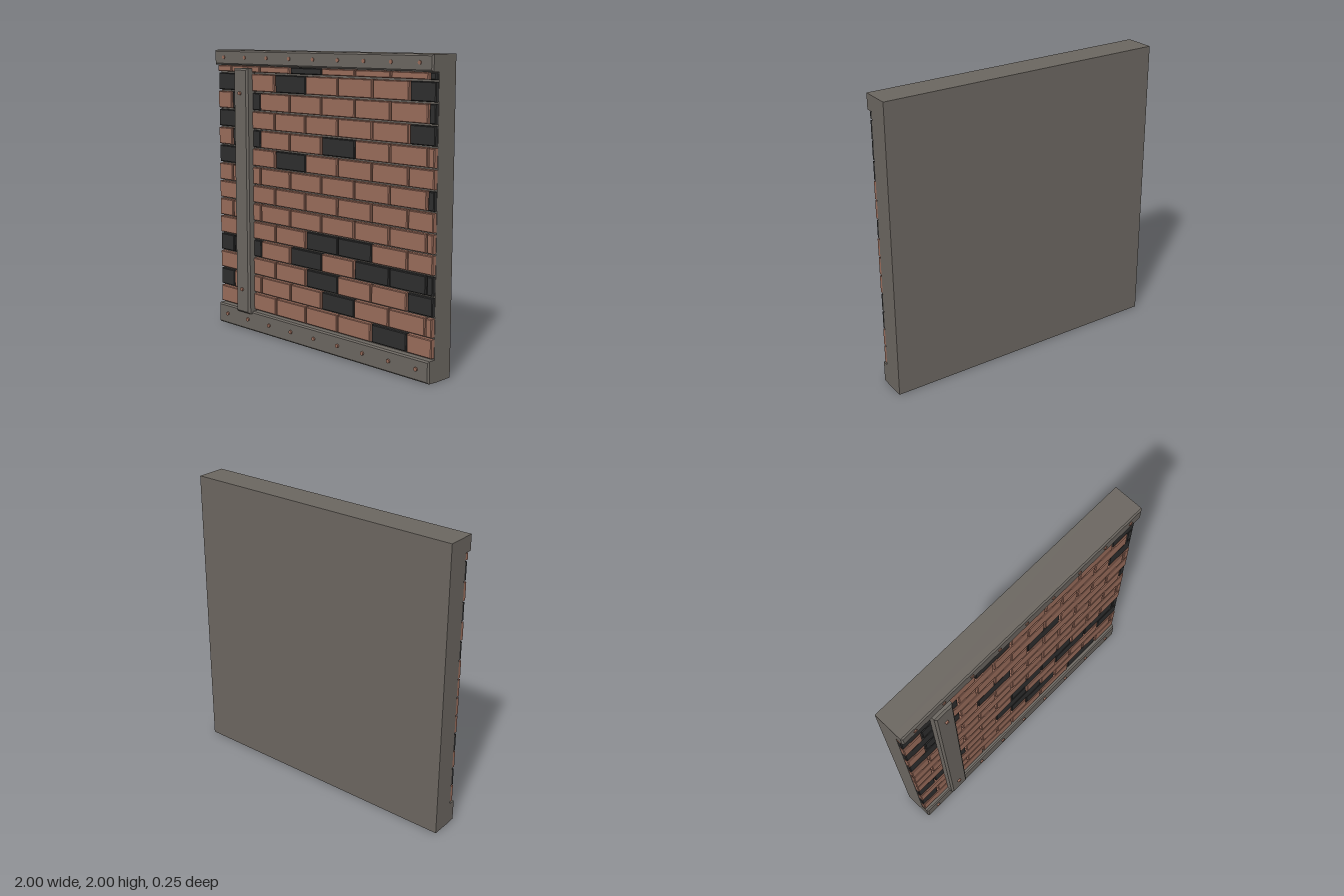
import * as THREE from 'three';

const mat = (name, color) => {
  const m = new THREE.MeshStandardMaterial({ color });
  m.name = name;
  return m;
};

// Plate with chamfered edges, spanning the given x, y and z ranges
function plate(x0, x1, y0, y1, z0, z1, b) {
  const s = new THREE.Shape();
  s.moveTo(x0 + b, y0 + b);
  s.lineTo(x1 - b, y0 + b);
  s.lineTo(x1 - b, y1 - b);
  s.lineTo(x0 + b, y1 - b);
  s.closePath();
  const g = new THREE.ExtrudeGeometry(s, {
    depth: z1 - z0 - 2 * b, bevelEnabled: true, bevelSize: b, bevelThickness: b, bevelSegments: 1,
  });
  return g.translate(0, 0, z0 + b);
}

export function createModel() {
  const group = new THREE.Group();
  group.name = 'brickWallPanel';
  const metal = mat('warmGrey', 0x6a655f);
  const red = mat('brickRed', 0x986b5a);
  const dark = mat('charcoal', 0x2d2d2d);

  const add = (parent, name, geo, material) => {
    const m = new THREE.Mesh(geo, material);
    m.name = name;
    parent.add(m);
    return m;
  };

  // Backing slab, which also shows as mortar
  add(group, 'backing', new THREE.BoxGeometry(2, 2, 0.155).translate(0, 1, -0.0475), metal);

  // Running-bond bricks; dark brick columns are listed per course, bottom to top
  const darkColumns = [
    [5], [0, 4], [3, 6], [0, 1, 3, 5, 6, 7], [3, 4], [], [],
    [7], [0, 2], [1, 4], [0, 6], [1, 7], [0, 2, 6], [3, 7],
  ];
  const bricks = new THREE.Group();
  bricks.name = 'bricks';
  group.add(bricks);
  darkColumns.forEach((columns, row) => {
    const odd = row % 2;
    const y0 = 0.16 + row * 0.13;
    const y1 = Math.min(y0 + 0.118, 1.892);
    for (let i = 0; i < 7 + odd; i++) {
      const start = -1 - odd * 0.15 + i * 0.3;
      const x0 = Math.max(start + 0.003, -0.998);
      const x1 = Math.min(start + 0.293, 0.998);
      const isDark = columns.includes(i);
      add(bricks, isDark ? 'darkBrick' : 'redBrick',
        plate(x0, x1, y0, y1, 0.01, isDark ? 0.057 : 0.062, 0.005), isDark ? dark : red);
    }
  });

  // Metal rails and the upright strap
  add(group, 'bottomRail', plate(-1, 1, 0.003, 0.147, 0, 0.084, 0.01), metal);
  add(group, 'topRail', plate(-1, 1, 1.897, 2, 0, 0.09, 0.01), metal);
  add(group, 'strap', plate(-0.772, -0.628, 0.13, 1.877, 0.03, 0.113, 0.013), metal);

  // Rivets
  const rivets = new THREE.Group();
  rivets.name = 'rivets';
  group.add(rivets);
  const rivet = (x, y, front) => {
    const geo = new THREE.CylinderGeometry(0.013, 0.013, 0.03, 12).rotateX(Math.PI / 2);
    add(rivets, 'rivet', geo, red).position.set(x, y, front - 0.015);
  };
  for (let i = 0; i < 9; i++) {
    const x = -0.9 + i * 0.225;
    rivet(x, 0.08, 0.094);
    rivet(x, 1.95, 0.095);
  }
  rivet(-0.7, 0.305, 0.125);
  rivet(-0.7, 1.705, 0.125);
  return group;
}
